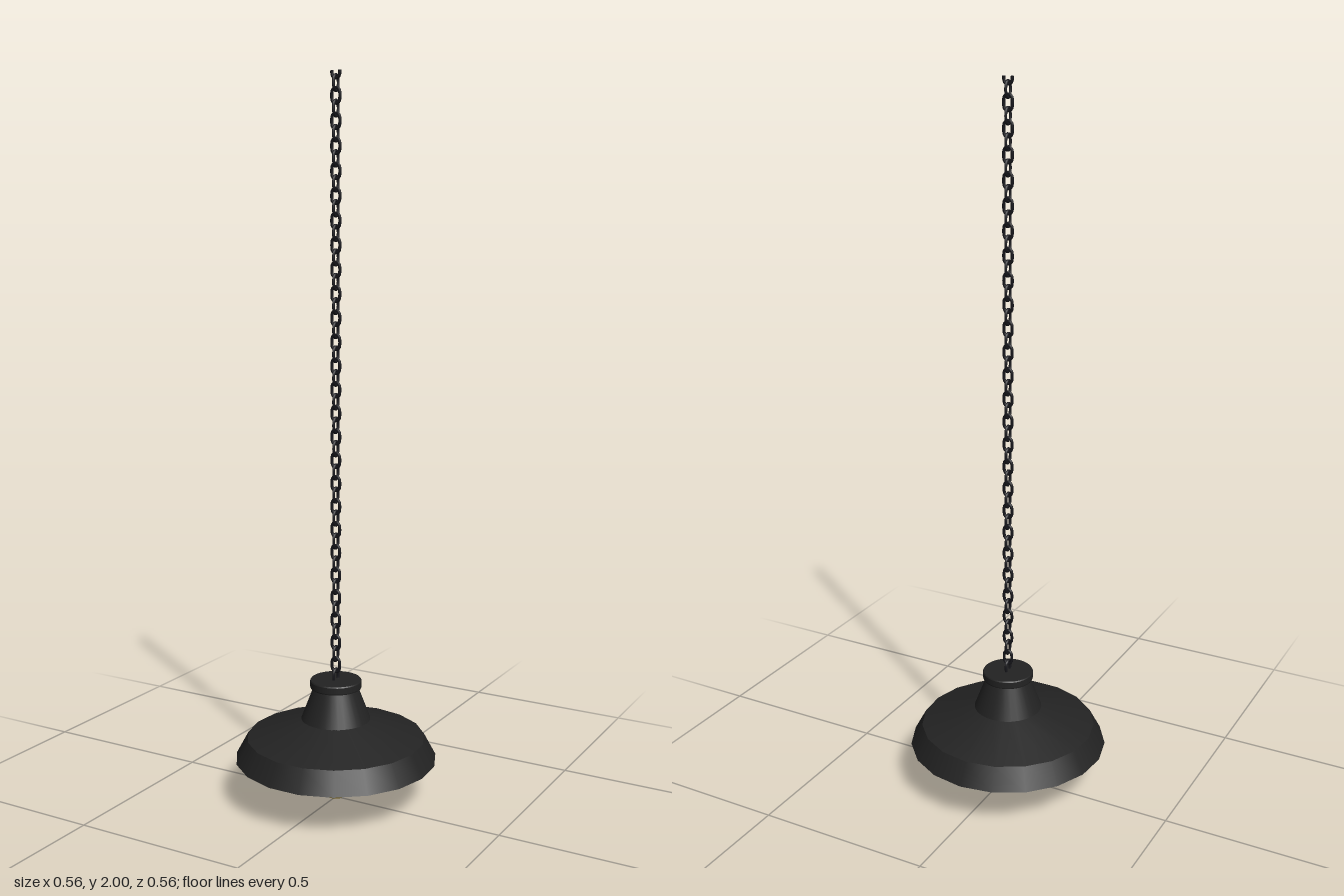
import * as THREE from 'three';
import { mergeGeometries } from 'three/addons/utils/BufferGeometryUtils.js';

const mat = (name, color) => {
  const m = new THREE.MeshStandardMaterial({ color });
  m.name = name;
  return m;
};

// Revolve each straight run of a profile separately, so edges between runs stay crisp
function bandedLathe(profile, sides) {
  const bands = [];
  for (let i = 0; i < profile.length - 1; i++) {
    const pts = [profile[i], profile[i + 1]].map(([r, y]) => new THREE.Vector2(r, y));
    bands.push(new THREE.LatheGeometry(pts, sides, Math.PI));
  }
  return mergeGeometries(bands);
}

// Path of a chain link: two straight sides joined by half circles; open gives only the lower half
function linkPath(halfWidth, halfStraight, open) {
  const pts = [];
  const arc = (from, cy) => {
    for (let i = 0; i <= 5; i++) {
      const a = from + (Math.PI * i) / 5;
      pts.push(new THREE.Vector3(Math.cos(a) * halfWidth, cy + Math.sin(a) * halfWidth, 0));
    }
  };
  if (open) pts.push(new THREE.Vector3(-halfWidth, 0, 0));
  arc(Math.PI, -halfStraight);
  if (open) pts.push(new THREE.Vector3(halfWidth, 0, 0));
  else arc(0, halfStraight);
  return new THREE.CatmullRomCurve3(pts, !open, 'centripetal');
}

export function createModel() {
  const model = new THREE.Group();
  model.name = 'pendantLamp';
  const black = mat('matte black', 0x232323);
  const iron = mat('chain iron', 0x17171c);
  const gold = mat('golden glass', 0xd4af37);

  const add = (name, geometry, material, parent = model) => {
    const mesh = new THREE.Mesh(geometry, material);
    mesh.name = name;
    parent.add(mesh);
    return mesh;
  };

  // Wide shade with a 19-sided rim: inner wall down, lip, outer wall up
  add('shade', bandedLathe([
    [0.09, 0.228], [0.243, 0.174], [0.275, 0.121],
    [0.283, 0.121], [0.25, 0.182], [0.097, 0.235],
  ], 19), black);

  // Tapered neck, hollow inside
  add('neck', bandedLathe([
    [0, 0.318], [0.053, 0.318], [0.09, 0.228], [0.098, 0.232], [0.062, 0.326],
  ], 32), black);

  // Cap disc on top of the neck
  add('cap', bandedLathe([
    [0.05, 0.325], [0.071, 0.325], [0.072, 0.328], [0.072, 0.345], [0.07, 0.348], [0, 0.348],
  ], 32), black);

  // Socket holding the bulb
  add('socket', new THREE.CylinderGeometry(0.036, 0.036, 0.11, 20).translate(0, 0.263, 0), black);

  // Bulb: round globe blending into a narrow neck
  const bulb = [];
  const radius = 0.069;
  for (let i = 0; i <= 16; i++) {
    const a = (i / 16) * 2.45;
    bulb.push(new THREE.Vector2(Math.sin(a) * radius, radius - Math.cos(a) * radius));
  }
  [[0.036, 0.135], [0.032, 0.15], [0.032, 0.2], [0.026, 0.212], [0, 0.215]]
    .forEach(([r, y]) => bulb.push(new THREE.Vector2(r, y)));
  add('bulb', new THREE.LatheGeometry(bulb, 28), gold);

  // Chain: alternate links turn a quarter; the topmost is an open half link
  const chain = new THREE.Group();
  chain.name = 'chain';
  model.add(chain);
  const wire = 0.0042;
  const pitch = 0.0322;
  const link = new THREE.TubeGeometry(linkPath(0.0118, 0.0085, false), 24, wire, 6, true);
  const hook = new THREE.TubeGeometry(linkPath(0.0118, 0.0085, true), 14, wire, 6, false);
  const openIron = iron;
  openIron.side = THREE.DoubleSide;
  add('topHook', hook, openIron, chain).position.y = 2;
  for (let k = 1; k <= 51; k++) {
    const mesh = add('chainLink', link, iron, chain);
    mesh.position.y = 2 - k * pitch;
    mesh.rotation.y = k % 2 ? Math.PI / 2 : 0;
  }

  return model;
}
